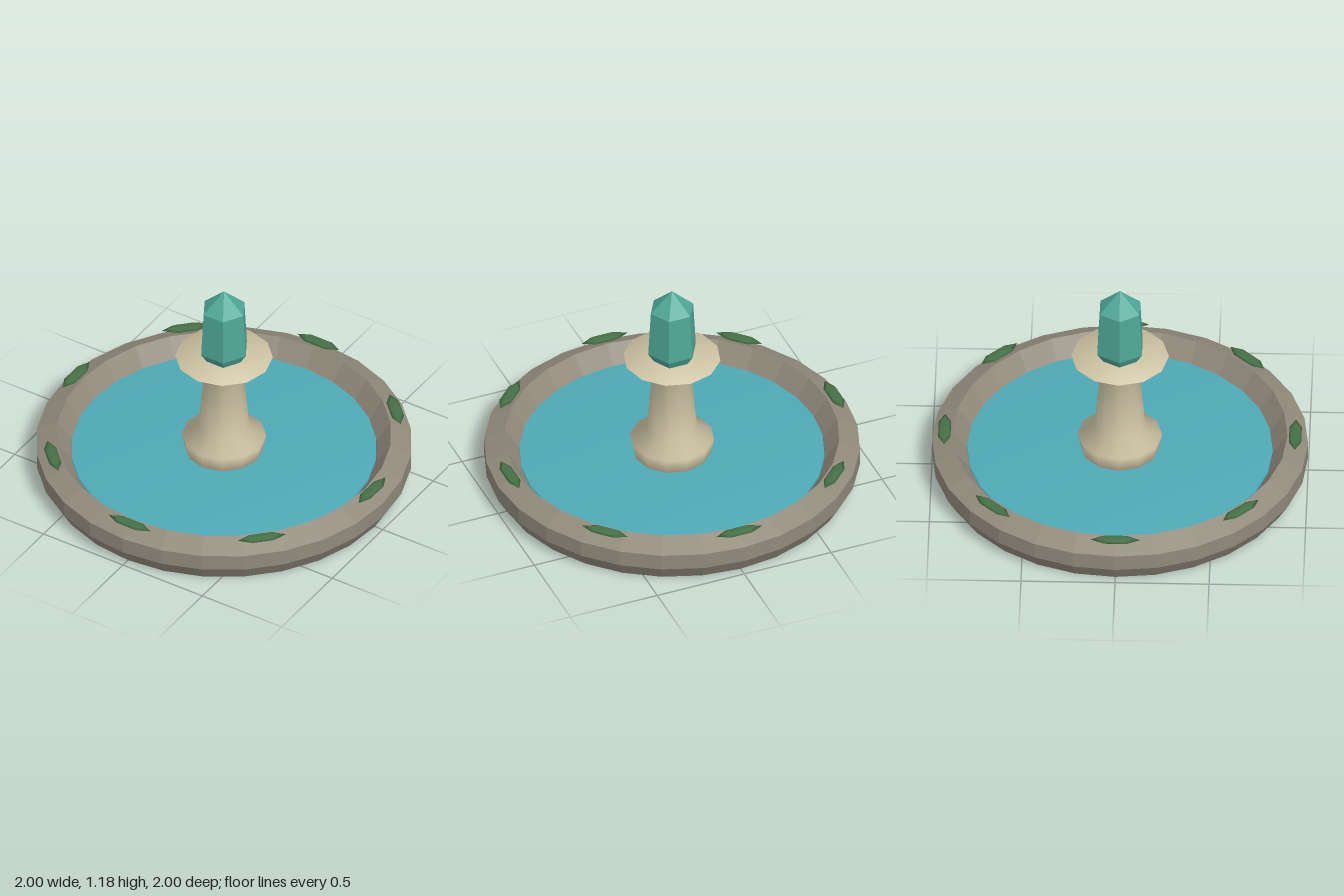
import * as THREE from 'three';
import { mergeVertices } from 'three/addons/utils/BufferGeometryUtils.js';

const paint = (color, flatShading = false) =>
  new THREE.MeshStandardMaterial({ color, flatShading, side: THREE.DoubleSide });

// Turned part from [radius, height] pairs, listed from the bottom up
function turned(name, points, sides, material, start = 0) {
  const profile = points.map(([r, y]) => new THREE.Vector2(r, y));
  const mesh = new THREE.Mesh(new THREE.LatheGeometry(profile, sides, start), material);
  mesh.name = name;
  return mesh;
}

// Share normals across the edges of a shape for soft shading
function soften(geometry) {
  geometry.deleteAttribute('normal');
  geometry.deleteAttribute('uv');
  const merged = mergeVertices(geometry);
  merged.computeVertexNormals();
  return merged;
}

export function createModel() {
  const model = new THREE.Group();
  model.name = 'fountain';

  // Faceted stone basin with a chamfered rim and sloping inner wall
  model.add(turned('basin', [
    [0, 0], [0.95, 0], [1, 0.085], [1, 0.175], [0.89, 0.23], [0.815, 0.12], [0.8, 0.08], [0, 0.08],
  ], 28, paint(0x918a7c, true)));

  // Water disc filling the basin
  const water = new THREE.Mesh(soften(new THREE.CylinderGeometry(0.812, 0.812, 0.04, 28)), paint(0x4fa9b6));
  water.name = 'water';
  water.position.y = 0.115;
  model.add(water);

  // Pedestal: flared foot, tapering shaft and thin dish
  model.add(turned('pedestal', [
    [0, 0.1], [0.2, 0.1], [0.225, 0.225], [0.135, 0.295], [0.1, 0.69], [0.26, 0.75], [0, 0.75],
  ], 12, paint(0xcfc4a5)));

  // Six-sided crystal with points along x
  model.add(turned('crystal', [
    [0, 0.745], [0.1, 0.745], [0.137, 0.805], [0.122, 1.07], [0, 1.185],
  ], 6, paint(0x4fa898, true), Math.PI / 2));

  // Eight leaves lying around the rim
  const leafGeometry = new THREE.SphereGeometry(1, 6, 4).scale(0.132, 0.014, 0.038);
  const leafMaterial = paint(0x467046);
  const leaves = new THREE.Group();
  leaves.name = 'leaves';
  for (let i = 0; i < 8; i++) {
    const a = (i * Math.PI) / 4;
    const leaf = new THREE.Mesh(leafGeometry, leafMaterial);
    leaf.name = 'leaf';
    leaf.position.set(0.932 * Math.sin(a), 0.236, 0.932 * Math.cos(a));
    leaf.rotation.y = a;
    leaves.add(leaf);
  }
  model.add(leaves);

  return model;
}
